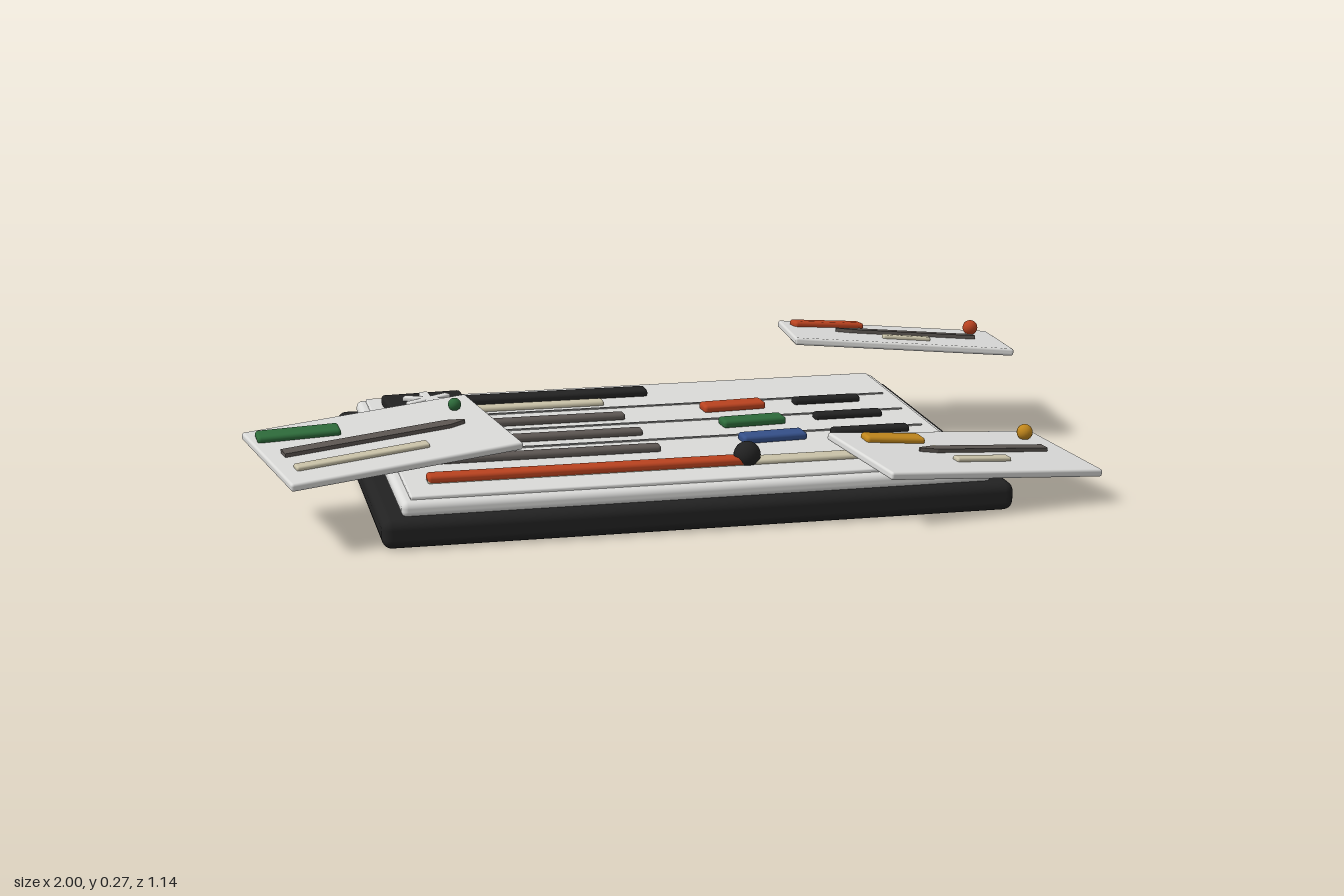
import * as THREE from 'three';
import { RoundedBoxGeometry } from 'three/addons/geometries/RoundedBoxGeometry.js';

const colour = (name, hex) => {
  const m = new THREE.MeshStandardMaterial({ color: hex });
  m.name = name;
  return m;
};

export function createModel() {
  const black = colour('black', 0x222222);
  const white = colour('white', 0xdadad8);
  const shade = colour('grooveGrey', 0x9a9a98);
  const grey = colour('darkGrey', 0x5c5652);
  const cream = colour('cream', 0xc9c2a8);
  const red = colour('red', 0xb9421f);
  const green = colour('green', 0x2d6a3a);
  const blue = colour('blue', 0x344f88);
  const amber = colour('amber', 0xc0861c);

  const model = new THREE.Group();
  model.name = 'dashboardBoard';
  const YAW = -0.07;

  const add = (parent, name, geo, mat, x, y, z, yaw = 0) => {
    const m = new THREE.Mesh(geo, mat);
    m.name = name;
    m.position.set(x, y, z);
    m.rotation.y = yaw;
    parent.add(m);
    return m;
  };
  const bar = (parent, name, mat, [w, h, d], x, y, z, yaw = 0, r = 0.008) =>
    add(parent, name, new RoundedBoxGeometry(w, h, d, 3, Math.min(r, h / 2.1)), mat, x, y, z, yaw);

  // Flat strip with one tapered end, pointing along +x or -x
  const pointed = (len, width, h, dir) => {
    const a = len / 2, b = width / 2, s = new THREE.Shape();
    s.moveTo(-a, -b);
    s.lineTo(a - 0.04, -b);
    s.lineTo(a, -b * 0.2);
    s.lineTo(a, b * 0.2);
    s.lineTo(a - 0.04, b);
    s.lineTo(-a, b);
    s.closePath();
    const g = new THREE.ExtrudeGeometry(s, { depth: h, bevelEnabled: false });
    g.rotateX(-Math.PI / 2);
    if (dir < 0) g.rotateY(Math.PI);
    return g;
  };

  // Base, sheet and grooves, all turned slightly
  const board = new THREE.Group();
  board.name = 'board';
  board.position.set(0.007, 0, -0.022);
  board.rotation.y = YAW;
  model.add(board);
  bar(board, 'base', black, [1.437, 0.066, 0.997], 0, 0.033, 0, 0, 0.022);
  bar(board, 'sheet', white, [1.345, 0.036, 0.94], 0, 0.079, 0, 0, 0.015);
  bar(board, 'innerPanel', white, [1.3, 0.016, 0.895], 0, 0.097, 0, 0, 0.004);
  for (const v of [-0.222, -0.063, 0.097])
    add(board, 'divider', new THREE.BoxGeometry(1.25, 0.004, 0.007), shade, 0, 0.106, v);

  // Slider along the front edge
  bar(board, 'sliderTrack', cream, [1.19, 0.014, 0.046], -0.005, 0.109, 0.335);
  bar(board, 'sliderFill', red, [0.73, 0.02, 0.042], -0.235, 0.113, 0.338);
  add(board, 'sliderKnob', new THREE.SphereGeometry(0.031, 24, 16), black, 0.132, 0.124, 0.336);

  // Heading: badge plate with a six-armed ornament, title strip and subtitle strip
  bar(model, 'badgePlate', black, [0.198, 0.028, 0.198], -0.485, 0.116, -0.345);
  for (let i = 0; i < 3; i++)
    bar(model, 'ornamentArm', white, [0.128, 0.012, 0.022], -0.485, 0.134, -0.345, Math.PI / 2 + i * Math.PI / 3, 0.004);
  bar(model, 'titleStrip', black, [0.5, 0.02, 0.05], -0.175, 0.112, -0.382, YAW);
  bar(model, 'subtitleStrip', cream, [0.36, 0.016, 0.036], -0.235, 0.109, -0.309, YAW);

  // Three rows: long strip, coloured tag, short dark strip
  [[-0.165, red], [-0.011, green], [0.141, blue]].forEach(([z, mat], i) => {
    bar(model, 'rowStrip', grey, [0.573, 0.018, 0.034], -0.329, 0.111, z, YAW);
    bar(model, 'rowTag', mat, [0.157, 0.02, 0.054], 0.238, 0.112, z);
    bar(model, 'rowEnd', black, [i === 2 ? 0.19 : 0.17, 0.018, 0.034], 0.48, 0.111, z + 0.004, YAW);
  });

  // Floating cards; items are given in model x, z and carried onto the tilted card
  const card = (name, c, X, Z, items) => {
    const g = new THREE.Group();
    g.name = name;
    const ax = new THREE.Vector3(...X).normalize();
    const az = new THREE.Vector3(...Z);
    const ay = az.clone().cross(ax).normalize();
    az.copy(ax).cross(ay);
    g.quaternion.setFromRotationMatrix(new THREE.Matrix4().makeBasis(ax, ay, az));
    g.position.set(...c);
    model.add(g);
    bar(g, 'cardPlate', white, [Math.hypot(...X), 0.018, Math.hypot(...Z)], 0, 0, 0, 0, 0.006);
    const turn = Math.atan2(-X[2], X[0]);
    const at = (x, z) => {
      const dx = x - c[0], dz = z - c[2];
      return [dx * Math.cos(turn) - dz * Math.sin(turn), dx * Math.sin(turn) + dz * Math.cos(turn)];
    };
    const { tag, pointer, note, dot } = items;
    let [u, v] = at(tag.x, tag.z);
    bar(g, 'cardTag', tag.mat, [tag.w, 0.018, 0.05], u, 0.013, v, -turn);
    [u, v] = at(pointer.x, pointer.z);
    add(g, 'cardPointer', pointed(pointer.w, 0.03, 0.012, pointer.dir), grey, u, 0.006, v);
    [u, v] = at(note.x, note.z);
    bar(g, 'cardNote', cream, [note.w, 0.012, 0.028], u, 0.012, v, 0, 0.005);
    [u, v] = at(dot.x, dot.z);
    add(g, 'cardDot', new THREE.SphereGeometry(dot.r, 20, 14), tag.mat, u, 0.006 + dot.r, v);
  };

  card('rightCard', [-0.7, 0.186, 0.2], [0.532, 0.028, -0.1], [0.057, -0.04, 0.322], {
    tag: { x: -0.877, z: 0.139, w: 0.187, mat: green },
    pointer: { x: -0.716, z: 0.205, w: 0.43, dir: 1 },
    note: { x: -0.762, z: 0.3, w: 0.31 },
    dot: { x: -0.508, z: 0.078, r: 0.015 },
  });
  card('backLeftCard', [0.7, 0.23, -0.27], [0.535, -0.038, 0.112], [-0.06, 0.027, 0.325], {
    tag: { x: 0.564, z: -0.393, w: 0.187, mat: red },
    pointer: { x: 0.727, z: -0.262, w: 0.355, dir: -1 },
    note: { x: 0.7, z: -0.187, w: 0.12 },
    dot: { x: 0.928, z: -0.315, r: 0.019 },
  });
  card('frontLeftCard', [0.623, 0.1, 0.38], [0.54, -0.05, -0.056], [0.033, -0.012, 0.33], {
    tag: { x: 0.475, z: 0.302, w: 0.145, mat: amber },
    pointer: { x: 0.67, z: 0.375, w: 0.33, dir: -1 },
    note: { x: 0.635, z: 0.455, w: 0.14 },
    dot: { x: 0.825, z: 0.263, r: 0.019 },
  });

  return model;
}
